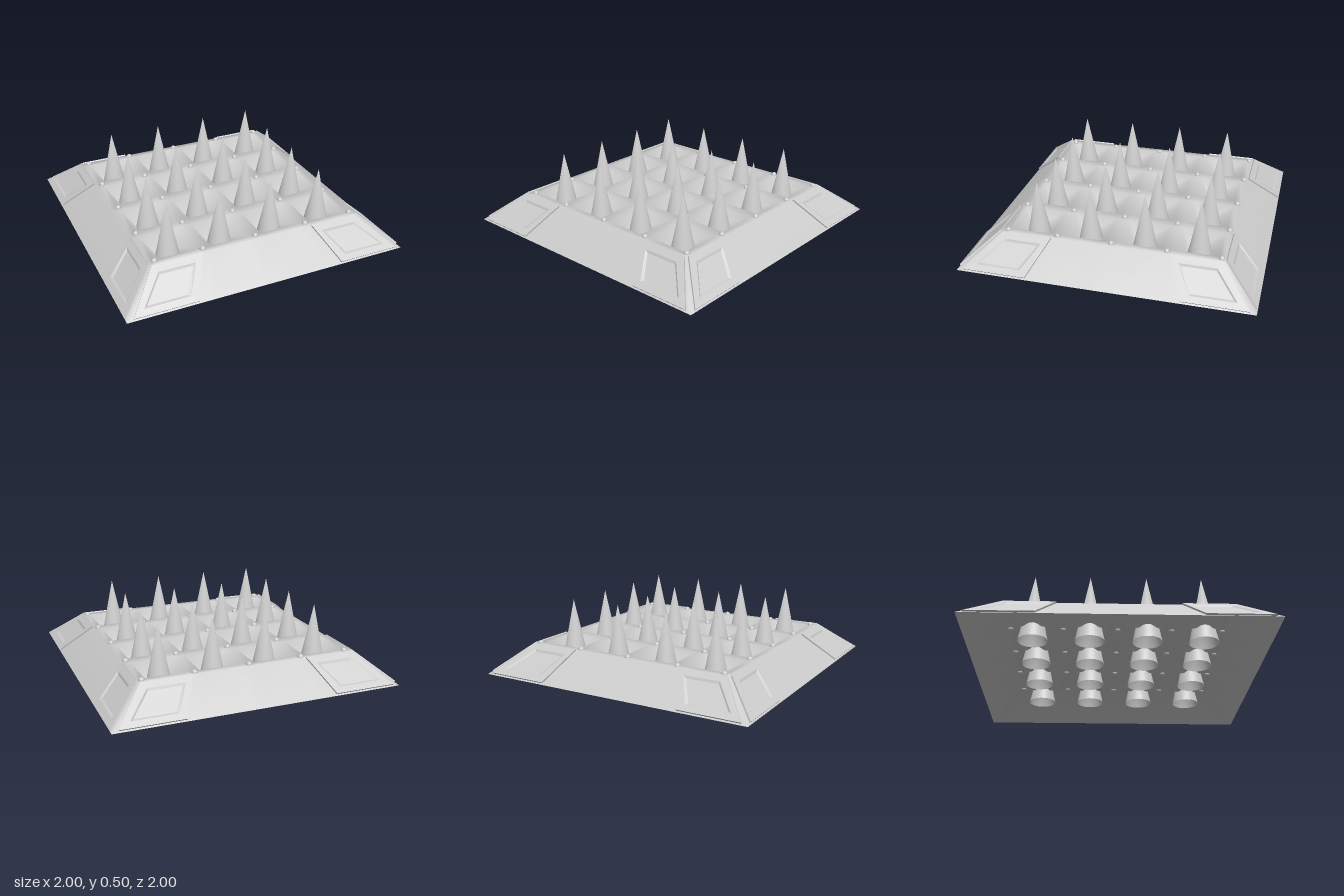
import * as THREE from 'three';
import { mergeVertices } from 'three/addons/utils/BufferGeometryUtils.js';

const TOP = 0.2, EDGE = 0.76, FLOOR = 0.1;
const CENTERS = [-0.565, -0.19, 0.19, 0.565];
const PIT = 0.147, PIT_FLOOR = 0.066;

const material = new THREE.MeshStandardMaterial({ color: 0xcccccc, side: THREE.DoubleSide });

// Collects quads (corners counter-clockwise from outside) into a geometry
function quadSheet() {
  const positions = [];
  return {
    quad(a, b, c, d) {
      for (const p of [a, b, c, a, c, d]) positions.push(...p);
    },
    build(smooth) {
      let geometry = new THREE.BufferGeometry();
      geometry.setAttribute('position', new THREE.Float32BufferAttribute(positions, 3));
      if (smooth) geometry = mergeVertices(geometry, 1e-4);
      geometry.computeVertexNormals();
      return geometry;
    },
  };
}

function addMesh(parent, name, geometry) {
  const mesh = new THREE.Mesh(geometry, material);
  mesh.name = name;
  parent.add(mesh);
  return mesh;
}

// Hollow base: top grid with sunken pits, and a sloping skirt
function baseGeometry() {
  const sheet = quadSheet();
  const lines = [-EDGE, ...CENTERS.flatMap(c => [c - PIT, c + PIT]), EDGE];
  const square = (x0, x1, z0, z1, y) => [[x0, y, z1], [x1, y, z1], [x1, y, z0], [x0, y, z0]];

  for (let i = 0; i < 9; i++) {
    for (let j = 0; j < 9; j++) {
      const rim = square(lines[i], lines[i + 1], lines[j], lines[j + 1], TOP);
      if (i % 2 === 0 || j % 2 === 0) {
        sheet.quad(...rim);
        continue;
      }
      const x = CENTERS[(i - 1) / 2], z = CENTERS[(j - 1) / 2];
      const floor = square(x - PIT_FLOOR, x + PIT_FLOOR, z - PIT_FLOOR, z + PIT_FLOOR, FLOOR);
      for (let k = 0; k < 4; k++) {
        const n = (k + 1) % 4;
        sheet.quad(rim[k], rim[n], floor[n], floor[k]);
      }
      sheet.quad(...floor);
    }
  }

  const turns = [(u, y, w) => [u, y, w], (u, y, w) => [w, y, -u],
    (u, y, w) => [-u, y, -w], (u, y, w) => [-w, y, u]];
  for (const turn of turns) {
    for (let i = 0; i < 9; i++) {
      const [a, b] = [lines[i], lines[i + 1]];
      sheet.quad(turn(a / EDGE, 0, 1), turn(b / EDGE, 0, 1), turn(b, TOP, EDGE), turn(a, TOP, EDGE));
    }
  }
  return sheet.build(true);
}

// Raised corner panel with a stepped recess, lying on the front slope
function panelGeometry(mirror) {
  const normal = new THREE.Vector2(1 - EDGE, TOP).normalize(); // (y, z)
  const ring = (points, lift) => points.map(([u, y]) => [
    mirror * u,
    y + normal.x * lift,
    1 - y * (1 - EDGE) / TOP + normal.y * lift,
  ]);
  const outer = [[-0.955, 0.008], [-0.52, 0.008], [-0.405, 0.197], [-0.75, 0.197]];
  const inner = [[-0.875, 0.036], [-0.565, 0.036], [-0.465, 0.165], [-0.72, 0.165]];
  const inset = [[-0.85, 0.046], [-0.58, 0.046], [-0.488, 0.155], [-0.718, 0.155]];
  const rings = [ring(outer, 0), ring(outer, 0.011), ring(inner, 0.011), ring(inset, 0.003)];

  const sheet = quadSheet();
  for (let r = 0; r < rings.length - 1; r++) {
    for (let k = 0; k < 4; k++) {
      const n = (k + 1) % 4;
      sheet.quad(rings[r][k], rings[r][n], rings[r + 1][n], rings[r + 1][k]);
    }
  }
  sheet.quad(...rings[3]);
  return sheet.build(false);
}

// Open cone with normals rounded over the tip
function spikeGeometry() {
  const cone = new THREE.ConeGeometry(0.1, 0.48, 32, 1, true);
  cone.deleteAttribute('normal');
  cone.deleteAttribute('uv');
  const geometry = mergeVertices(cone, 1e-4);
  geometry.computeVertexNormals();
  return geometry.translate(0, 0.26, 0);
}

export function createModel() {
  const model = new THREE.Group();
  model.name = 'spikeTrap';
  addMesh(model, 'base', baseGeometry());

  // Two panels at the ends of each of the four slopes
  const panels = [panelGeometry(1), panelGeometry(-1)];
  for (let side = 0; side < 4; side++) {
    const group = new THREE.Group();
    group.name = 'sidePanels';
    group.rotation.y = side * Math.PI / 2;
    for (const geometry of panels) addMesh(group, 'cornerPanel', geometry);
    model.add(group);
  }

  // One spike per pit
  const spike = spikeGeometry();
  for (const x of CENTERS) {
    for (const z of CENTERS) addMesh(model, 'spike', spike).position.set(x, 0, z);
  }

  // Rivets where the bars cross
  const rivet = new THREE.SphereGeometry(0.02, 16, 12);
  for (const x of [-0.715, -0.38, 0, 0.38, 0.732]) {
    for (const z of [-0.735, -0.375, 0, 0.372, 0.722]) {
      addMesh(model, 'rivet', rivet).position.set(x, TOP, z);
    }
  }
  return model;
}
